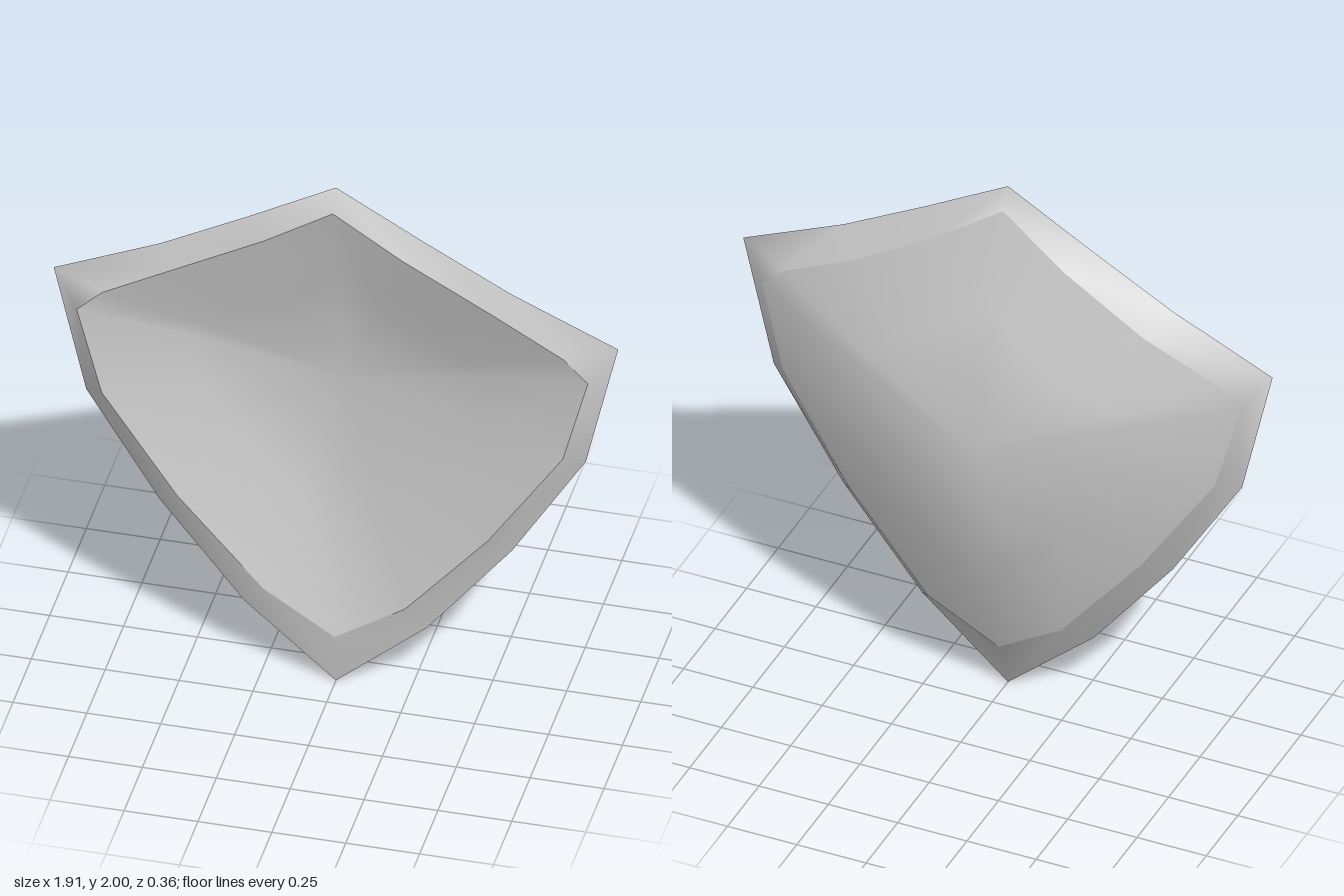
import * as THREE from 'three';
import { mergeVertices } from 'three/addons/utils/BufferGeometryUtils.js';

// Half outlines from the top point, down the left side, to the bottom point.
const OUTER = [[0, 2], [0.3, 1.83], [0.595, 1.67], [0.955, 1.51], [0.955, 1.51],
  [0.845, 1.035], [0.595, 0.63], [0.31, 0.27], [0, 0]];
// Inner edge of the rim: x, y, front z, back z
const INNER = [[0, 1.925, 0.17, 0.085], [0.235, 1.77, 0.165, 0.05], [0.53, 1.6, 0.155, 0.035],
  [0.78, 1.47, 0.17, 0.06], [0.865, 1.39, 0.175, 0.075], [0.78, 1.07, 0.178, 0.055],
  [0.525, 0.69, 0.172, 0.025], [0.24, 0.35, 0.152, 0.015], [0, 0.19, 0.145, 0.05]];
const EDGE_Z = 0.125;
const CENTRE_Y = 1.13;

// Completes a half outline with its mirrored other side.
const mirror = (half) => [...half,
  ...half.slice(1, -1).reverse().map(([x, ...rest]) => [-x, ...rest])];

// Skins a list of equal-length closed rings, ordered from the middle outwards.
function skin(name, rings, facesFront, material) {
  const n = rings[0].length;
  const index = [];
  for (let i = 0; i < rings.length - 1; i++) {
    for (let j = 0; j < n; j++) {
      const k = (j + 1) % n;
      const a = i * n + j, b = i * n + k, c = a + n, d = b + n;
      for (const t of [[a, b, c], [b, d, c]]) index.push(...(facesFront ? t : t.reverse()));
    }
  }
  let geometry = new THREE.BufferGeometry();
  geometry.setAttribute('position', new THREE.Float32BufferAttribute(rings.flat(2), 3));
  geometry.setIndex(index);
  geometry = mergeVertices(geometry);
  geometry.computeVertexNormals();
  const mesh = new THREE.Mesh(geometry, material);
  mesh.name = name;
  return mesh;
}

// Few, wide rings from the deepest point out to the rim, so the shading stays soft.
function dishRings(rim, depth) {
  return [0, 0.6, 1].map((t) => rim.map(([x, y, z]) => {
    // straight slope upwards, rounder towards the sides and the bottom
    const down = (CENTRE_Y - y) / Math.hypot(x, y - CENTRE_Y);
    const power = 1.4 + 0.4 * down;
    return [x * t, CENTRE_Y + (y - CENTRE_Y) * t, depth + (z - depth) * t ** power];
  }));
}

export function createModel() {
  const shield = new THREE.Group();
  shield.name = 'shield';
  const material = new THREE.MeshStandardMaterial({ color: 0xcccccc });

  const edge = mirror(OUTER.map(([x, y]) => [x, y, EDGE_Z]));
  const frontRim = mirror(INNER.map(([x, y, front]) => [x, y, front]));
  const backRim = mirror(INNER.map(([x, y, , back]) => [x, y, back]));

  // hollow front, domed back, and the bevels that meet at the sharp outer edge
  shield.add(
    skin('frontDish', dishRings(frontRim, -0.02), true, material),
    skin('frontBevel', [frontRim, edge], true, material),
    skin('backDome', dishRings(backRim, -0.18), false, material),
    skin('backBevel', [backRim, edge], false, material),
  );
  return shield;
}
